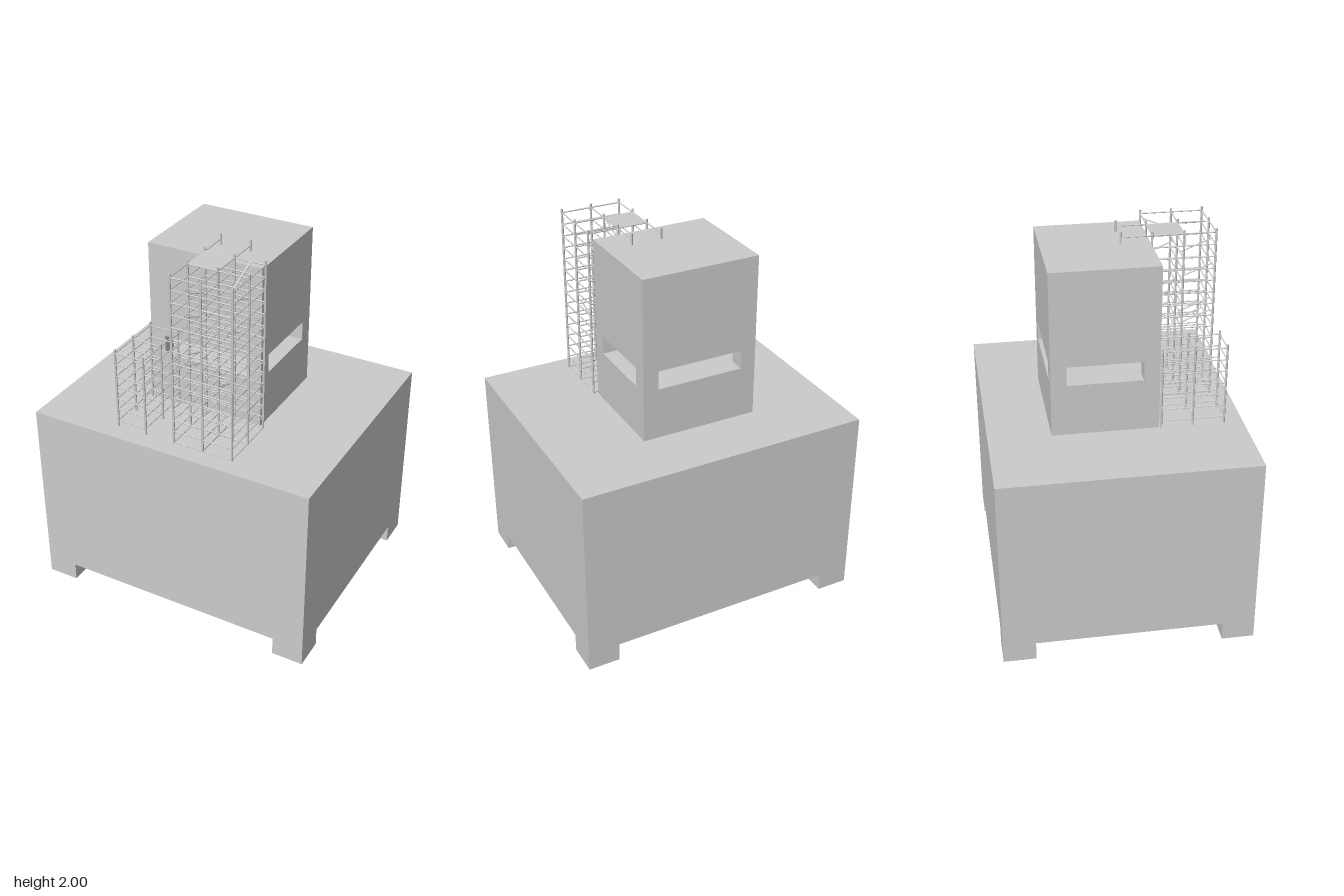
import * as THREE from 'three';

const mat = new THREE.MeshStandardMaterial({ color: 0xcccccc, flatShading: true });
const openMat = new THREE.MeshStandardMaterial({ color: 0xcccccc, flatShading: true, side: THREE.DoubleSide });

// Box given by its lower and upper corner
function box(parent, name, [x0, y0, z0], [x1, y1, z1]) {
  const m = new THREE.Mesh(new THREE.BoxGeometry(x1 - x0, y1 - y0, z1 - z0), mat);
  m.position.set((x0 + x1) / 2, (y0 + y1) / 2, (z0 + z1) / 2);
  m.name = name;
  parent.add(m);
  return m;
}

// Round pole between two points
function pole(parent, name, a, b, r) {
  const from = new THREE.Vector3(...a), to = new THREE.Vector3(...b);
  const dir = to.clone().sub(from);
  const m = new THREE.Mesh(new THREE.CylinderGeometry(r, r, dir.length(), 6), mat);
  m.position.copy(from).add(to).multiplyScalar(0.5);
  m.quaternion.setFromUnitVectors(new THREE.Vector3(0, 1, 0), dir.normalize());
  m.name = name;
  parent.add(m);
}

const DECK = 1.055, POST_R = 0.006, RAIL_R = 0.0035, STEP = 0.065;
const ZS = [0.23, 0.395, 0.56];

// Grid of posts with rails along every grid line at each level
function scaffold(name, xs, top, firstLevel, levels) {
  const g = new THREE.Group();
  g.name = name;
  for (const x of xs) for (const z of ZS) pole(g, 'post', [x, DECK, z], [x, top, z], POST_R);
  for (let i = 0; i < levels; i++) {
    const y = firstLevel + i * STEP;
    for (const z of ZS) pole(g, 'crossRail', [xs[0], y, z], [xs[xs.length - 1], y, z], RAIL_R);
    for (const x of xs) pole(g, 'sideRail', [x, y, ZS[0]], [x, y, ZS[2]], RAIL_R);
  }
  return g;
}

export function createModel() {
  const root = new THREE.Group();
  root.name = 'towerOnBlock';

  // Large block on four feet that are open underneath
  box(root, 'baseBlock', [-0.785, 0.1, -0.66], [0.785, DECK, 0.66]);
  const F = 0.17;
  const footGeo = new THREE.CylinderGeometry(F / Math.SQRT2, F / Math.SQRT2, 0.1, 4, 1, true).rotateY(Math.PI / 4);
  for (const sx of [-1, 1]) for (const sz of [-1, 1]) {
    const foot = new THREE.Mesh(footGeo, openMat);
    foot.position.set(sx * (0.785 - F / 2), 0.05, sz * (0.66 - F / 2));
    foot.name = 'foot';
    root.add(foot);
  }

  // Tower with a window band cut through, leaving corner pillars
  const tower = new THREE.Group();
  tower.name = 'tower';
  root.add(tower);
  const X0 = -0.335, X1 = 0.3, Z0 = -0.335, Z1 = 0.22, P = 0.082;
  const SILL = 1.333, HEAD = 1.435;
  box(tower, 'lowerTower', [X0, DECK, Z0], [X1, SILL, Z1]);
  box(tower, 'upperTower', [X0, HEAD, Z0], [X1, 1.94, Z1]);
  for (const x of [X0, X1 - P]) for (const z of [Z0, Z1 - P])
    box(tower, 'cornerPillar', [x, SILL, z], [x + P, HEAD, z + P]);

  // Low and tall scaffolds
  root.add(scaffold('lowScaffold', [-0.335, -0.172], 1.5, 1.09, 7));
  const tall = scaffold('tallScaffold', [-0.007, 0.157, 0.322], 1.99, 1.06, 15);
  root.add(tall);

  // Landing and handrails reaching over the tower roof
  box(tall, 'landing', [-0.007, 1.966, 0.23], [0.157, 1.972, 0.395]);
  for (const x of [-0.007, 0.157]) {
    pole(tall, 'roofRail', [x, 1.97, 0.23], [x, 1.97, 0.07], RAIL_R);
    pole(tall, 'roofPost', [x, 1.94, 0.07], [x, 2, 0.07], POST_R);
  }

  // Narrow ramps climbing one level each: x, upper y, upper z, lower z
  const ramps = [
    [0.243, 1.97, 0.23, 0.395], [0.08, 1.905, 0.56, 0.395], [0.24, 1.84, 0.395, 0.23],
    [0.06, 1.775, 0.56, 0.395], [0.19, 1.645, 0.395, 0.23], [0.066, 1.58, 0.56, 0.395],
    [0.055, 1.515, 0.56, 0.395], [0.232, 1.45, 0.56, 0.395], [0.105, 1.385, 0.395, 0.23],
  ];
  for (const [x, y, zTop, zLow] of ramps) {
    const ramp = box(tall, 'ramp', [x - 0.005, 0, 0], [x + 0.005, 0.003, Math.hypot(STEP, zTop - zLow)]);
    ramp.position.set(x, y - STEP / 2, (zTop + zLow) / 2);
    ramp.rotation.x = -Math.atan2(STEP, zTop - zLow);
  }
  return root;
}
